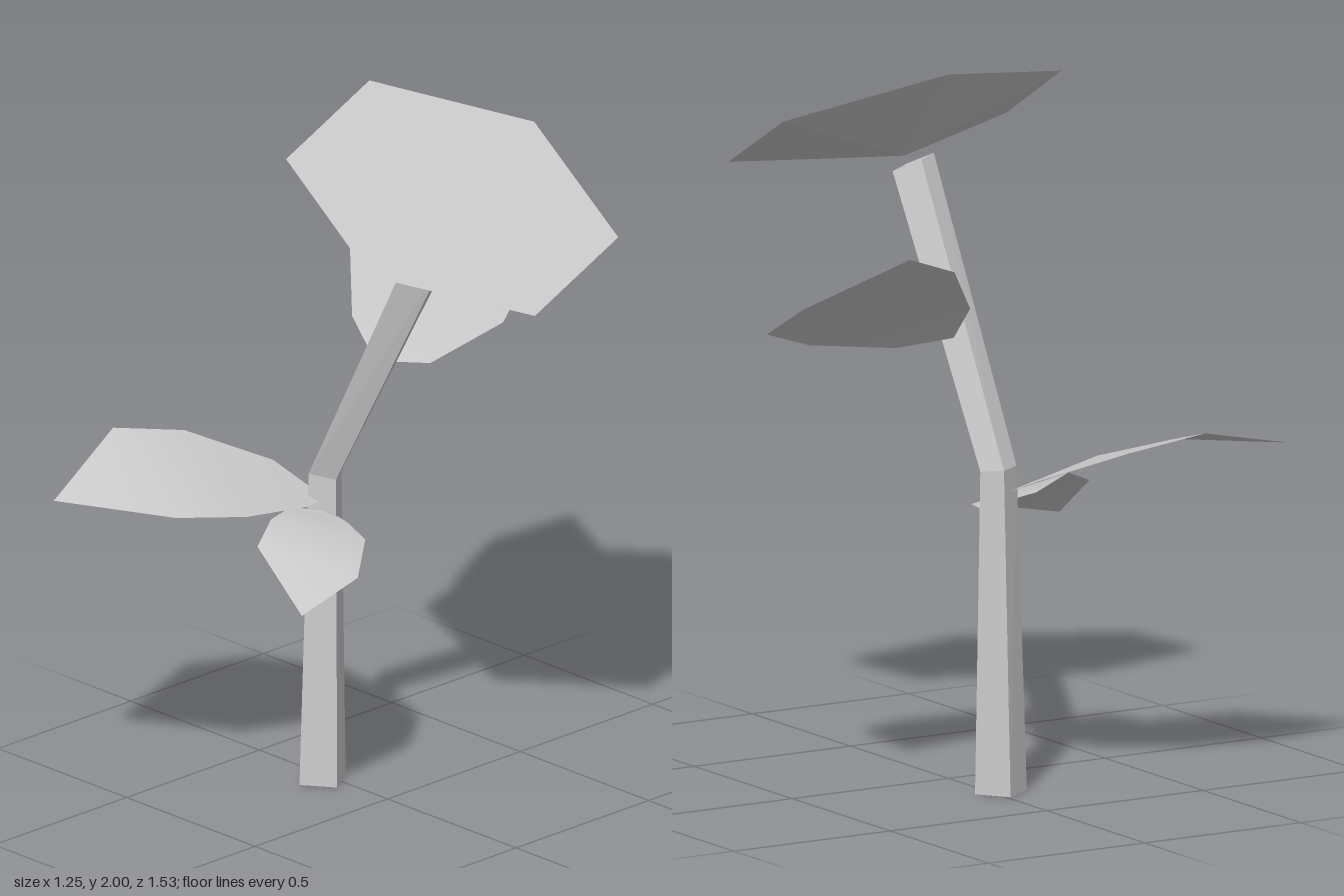
import * as THREE from 'three';

const material = new THREE.MeshStandardMaterial({ color: 0xcccccc, side: THREE.DoubleSide });
const flatMaterial = new THREE.MeshStandardMaterial({ color: 0xcccccc, side: THREE.DoubleSide, flatShading: true });

function makeMesh(name, points, index, mat) {
  const geo = new THREE.BufferGeometry();
  geo.setAttribute('position', new THREE.Float32BufferAttribute(points.flat(), 3));
  geo.setIndex(index);
  geo.computeVertexNormals();
  const mesh = new THREE.Mesh(geo, mat);
  mesh.name = name;
  return mesh;
}

// Open four-sided tube lofted through rings of corners (left, front, right, back)
function makeStem(rings) {
  const index = [];
  for (let r = 0; r < rings.length - 1; r++) {
    for (let i = 0; i < 4; i++) {
      const a = r * 4 + i, b = r * 4 + (i + 1) % 4;
      index.push(a, b, b + 4, a, b + 4, a + 4);
    }
  }
  return makeMesh('stem', rings.flat(), index, flatMaterial);
}

// Leaf blade: base point, left/right pairs along its length, tip
function makeLeaf(name, base, pairs, tip) {
  const points = [base, ...pairs.flat(), tip];
  const last = points.length - 1;
  const index = [0, 2, 1];
  for (let i = 1; i + 3 < last; i += 2) index.push(i, i + 1, i + 3, i, i + 3, i + 2);
  index.push(last - 2, last - 1, last);
  return makeMesh(name, points, index, material);
}

// Flower head: flat six-sided top with a shallow cone beneath
function makeHead(rim, apex) {
  const n = rim.length;
  const top = [], under = [];
  for (let i = 1; i < n - 1; i++) top.push(0, i + 1, i);
  for (let i = 0; i < n; i++) under.push(i, (i + 1) % n, n);
  const head = new THREE.Group();
  head.name = 'flowerHead';
  head.add(makeMesh('flowerTop', rim, top, flatMaterial));
  head.add(makeMesh('flowerUnderside', [...rim, apex], under, flatMaterial));
  return head;
}

export function createModel() {
  const plant = new THREE.Group();
  plant.name = 'plant';

  plant.add(makeStem([
    [[-0.30, 0, 0.01], [-0.24, 0, 0.10], [-0.155, 0, 0.04], [-0.215, 0, -0.05]],
    [[-0.275, 0.9, 0.005], [-0.235, 0.9, 0.07], [-0.17, 0.89, 0.03], [-0.21, 0.89, -0.03]],
    [[0.13, 1.69, -0.005], [0.17, 1.695, 0.06], [0.245, 1.655, 0.015], [0.205, 1.65, -0.05]],
  ]));

  plant.add(makeHead([
    [0.07, 1.86, -0.485], [0.485, 1.665, -0.40], [0.625, 1.60, 0.05],
    [0.35, 1.735, 0.405], [-0.065, 1.935, 0.32], [-0.205, 2.0, -0.13],
  ], [0.16, 1.70, -0.04]));

  plant.add(makeLeaf('upperLeaf', [-0.09, 1.24, -0.04], [
    [[-0.19, 1.34, -0.05], [-0.02, 1.215, -0.18]],
    [[-0.365, 1.49, -0.21], [-0.025, 1.255, -0.46]],
    [[-0.465, 1.565, -0.415], [-0.125, 1.325, -0.66]],
  ], [-0.485, 1.47, -0.77]));

  plant.add(makeLeaf('largeLowerLeaf', [-0.22, 0.82, 0.02], [
    [[-0.395, 0.89, 0.05], [-0.19, 0.83, 0.115]],
    [[-0.565, 0.975, 0.22], [-0.16, 0.88, 0.375]],
    [[-0.63, 1.02, 0.425], [-0.225, 0.915, 0.58]],
  ], [-0.51, 0.935, 0.765]));

  plant.add(makeLeaf('smallLowerLeaf', [-0.19, 0.79, 0.03], [
    [[-0.24, 0.82, 0.13], [-0.14, 0.77, 0.015]],
    [[-0.165, 0.845, 0.28], [-0.035, 0.76, 0.05]],
    [[-0.12, 0.805, 0.375], [0.08, 0.72, 0.19]],
  ], [0.095, 0.675, 0.415]));

  return plant;
}
